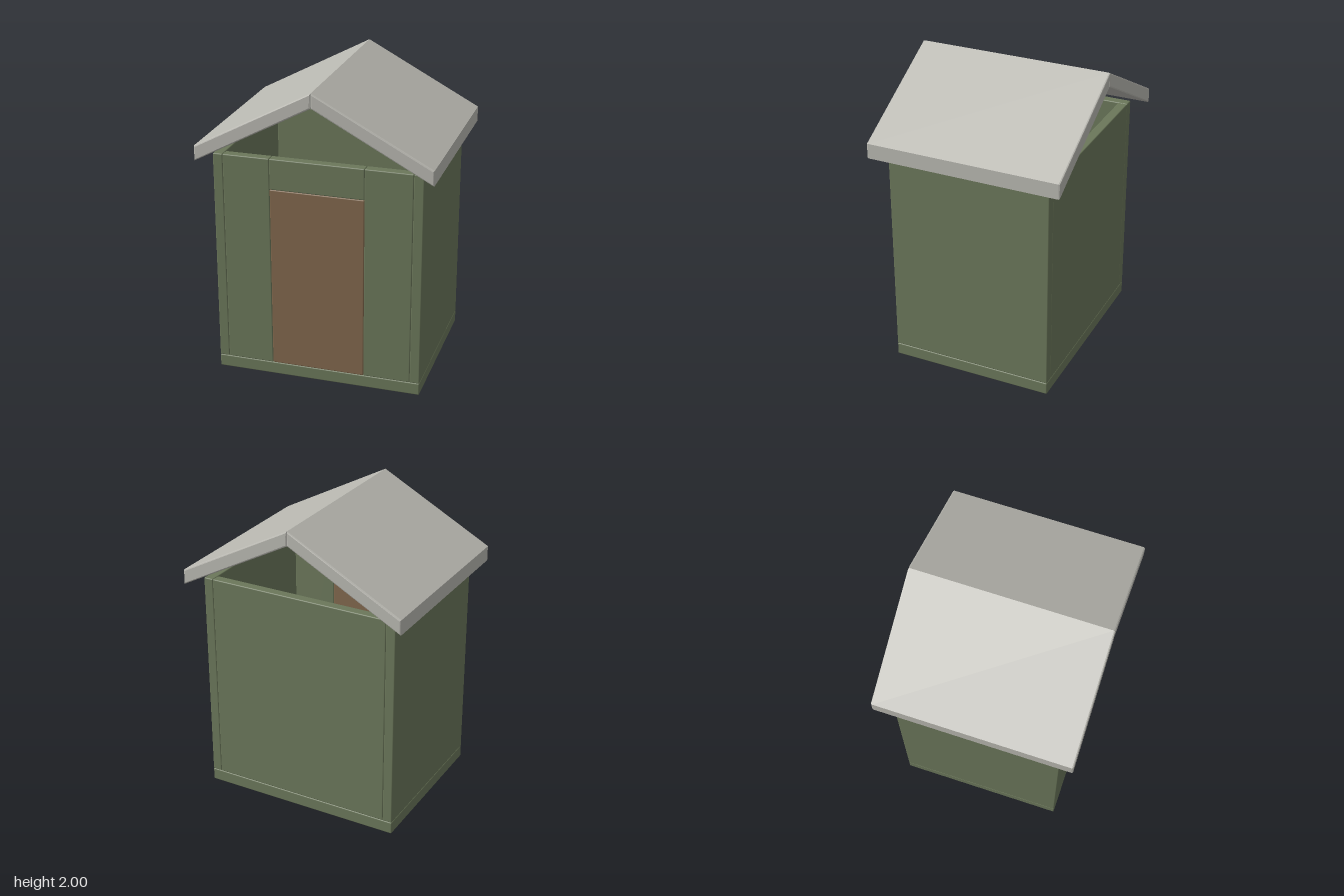
import * as THREE from 'three';
import { RoundedBoxGeometry } from 'three/addons/geometries/RoundedBoxGeometry.js';

const mat = (name, color) => {
  const m = new THREE.MeshStandardMaterial({ color });
  m.name = name;
  return m;
};

export function createModel() {
  const group = new THREE.Group();
  group.name = 'shed';
  const green = mat('green paint', 0x6b775a);
  const brown = mat('brown wood', 0x80674c);
  const grey = mat('grey roofing', 0xb8b7b0);

  // Softly rounded panel given by its minimum and maximum corners
  const panel = (name, material, [x0, y0, z0], [x1, y1, z1]) => {
    const geo = new RoundedBoxGeometry(x1 - x0, y1 - y0, z1 - z0, 2, 0.007);
    const mesh = new THREE.Mesh(geo, material);
    mesh.position.set((x0 + x1) / 2, (y0 + y1) / 2, (z0 + z1) / 2);
    mesh.name = name;
    group.add(mesh);
  };

  const W = 0.685, D = 0.548, T = 0.065; // half width, half depth, wall thickness
  const base = 0.083, top = 1.518, inner = W - T, doorX = 0.31, doorTop = 1.312;

  // Floor and back wall
  panel('floor', green, [-W, 0, -D], [W, base, D]);
  panel('backWall', green, [-inner, base, -D], [inner, top, T - D]);

  // Front wall: lintel above the door
  panel('lintel', green, [-doorX, doorTop, D - T], [doorX, top, D]);
  panel('door', brown, [-doorX, base, D - T], [doorX, doorTop, D]);

  // Mirrored side walls, front panels and roof slopes
  for (const s of [-1, 1]) {
    const side = s > 0 ? 'left' : 'right';
    const span = (a, b) => (s > 0 ? [a, b] : [-b, -a]);
    const [w0, w1] = span(inner, W);
    panel(side + 'Wall', green, [w0, base, -D], [w1, top, D]);
    const [f0, f1] = span(doorX, inner);
    panel(side + 'FrontPanel', green, [f0, base, D - T], [f1, top, D]);

    // Roof slope with vertical cuts at ridge and eave
    const pts = [[0, 2], [0, 1.903], [0.768, 1.492], [0.768, 1.592]];
    const shape = new THREE.Shape(pts.map(([x, y]) => new THREE.Vector2(s * x, y)));
    const bevel = 0.01;
    const geo = new THREE.ExtrudeGeometry(shape, {
      depth: 1.3 - 2 * bevel, bevelEnabled: true, bevelSize: bevel,
      bevelThickness: bevel, bevelOffset: -bevel, bevelSegments: 2,
    });
    geo.translate(0, 0, bevel - 0.65);
    const roof = new THREE.Mesh(geo, grey);
    roof.name = side + 'Roof';
    group.add(roof);
  }
  return group;
}
